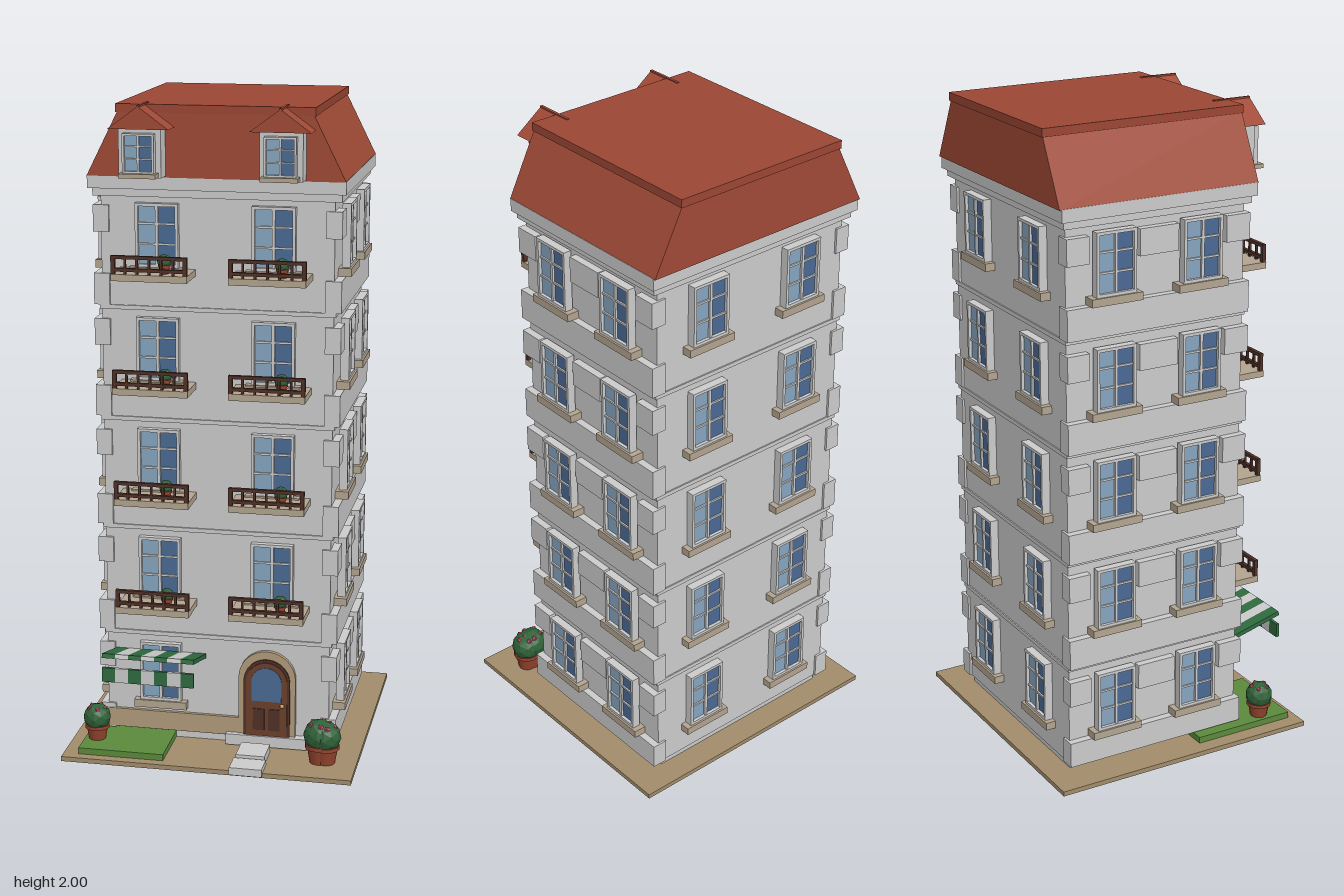
import * as THREE from 'three';

const mat = (color) => new THREE.MeshStandardMaterial({ color });
const M = {
  wall: mat(0xcccccc), tan: mat(0xb09c7c), sill: mat(0xb3a48f), roof: mat(0xa04a36), slab: mat(0x9c4634),
  light: mat(0x86a6c0), dark: mat(0x4a6a94), wood: mat(0x6b3f2c), rail: mat(0x4f3026), pot: mat(0x97452f),
  green: mat(0x2f6b3f), bush: mat(0x2f6138), lawn: mat(0x5c8a3c), ground: mat(0xa28d6c), pink: mat(0xc8506c), brass: mat(0xc9a24a),
};
M.bush.flatShading = true;

function add(parent, name, geo, m, x = 0, y = 0, z = 0) {
  const mesh = new THREE.Mesh(geo, m);
  mesh.name = name;
  mesh.position.set(x, y, z);
  parent.add(mesh);
  return mesh;
}

// box given by its lower and upper limits on each axis
function box(parent, name, m, [x0, x1], [y0, y1], [z0, z1]) {
  return add(parent, name, new THREE.BoxGeometry(x1 - x0, y1 - y0, z1 - z0), m,
    (x0 + x1) / 2, (y0 + y1) / 2, (z0 + z1) / 2);
}

function group(parent, name, x = 0, y = 0, z = 0, ry = 0) {
  const g = new THREE.Group();
  g.name = name;
  g.position.set(x, y, z);
  g.rotation.y = ry;
  parent.add(g);
  return g;
}

function extrude(points, depth) {
  const shape = points instanceof THREE.Shape ? points : new THREE.Shape(points.map(([x, y]) => new THREE.Vector2(x, y)));
  return new THREE.ExtrudeGeometry(shape, { depth, bevelEnabled: false, curveSegments: 16 });
}

// casement window facing +z, standing on y = 0, with its back at z = 0
function makeWindow(parent, w, h, x, y, z, ry = 0, sill = true) {
  const g = group(parent, 'window', x, y, z, ry), r = w / 2, t = w * 0.07;
  box(g, 'lightPane', M.light, [-r + t, 0], [t, h - t], [0, 0.016]);
  box(g, 'darkPane', M.dark, [0, r - t], [t, h - t], [0, 0.016]);
  for (const s of [-1, 1]) box(g, 'frameSide', M.wall, s < 0 ? [-r, -r + t] : [r - t, r], [0, h], [0, 0.026]);
  box(g, 'frameTop', M.wall, [-r, r], [h - t, h], [0, 0.026]);
  box(g, 'frameBottom', M.wall, [-r, r], [0, t], [0, 0.026]);
  box(g, 'mullion', M.wall, [-t / 2, t / 2], [0, h], [0, 0.023]);
  for (const k of [0.36, 0.68]) box(g, 'glazingBar', M.wall, [-r, r], [h * k - t / 3, h * k + t / 3], [0, 0.021]);
  if (sill) box(g, 'sill', M.sill, [-r - 0.018, r + 0.018], [-0.024, 0], [-0.01, 0.032]);
}

// flowering plant in a pot
function makePlant(parent, x, y, z, r, flowers = true) {
  const g = group(parent, 'pottedPlant', x, y, z);
  add(g, 'pot', new THREE.CylinderGeometry(r * 0.8, r * 0.6, r * 1.1, 12), M.pot, 0, r * 0.55, 0);
  add(g, 'potRim', new THREE.CylinderGeometry(r * 0.9, r * 0.9, r * 0.25, 12), M.pot, 0, r * 1.1, 0);
  add(g, 'bush', new THREE.IcosahedronGeometry(r, 1), M.bush, 0, r * 1.75, 0);
  if (!flowers) return;
  for (let i = 0; i < 5; i++) {
    const a = i * Math.PI * 2 / 5;
    add(g, 'flower', new THREE.IcosahedronGeometry(r * 0.2, 0), M.pink,
      Math.cos(a) * r * 0.55, r * 2.45, Math.sin(a) * r * 0.55);
  }
}

function makeBalcony(parent, x, y, plantX) {
  const g = group(parent, 'balcony', x, y, 0);
  box(g, 'balconySlab', M.sill, [-0.114, 0.114], [0, 0.02], [0.2, 0.345]);
  for (const h of [0.033, 0.07]) box(g, 'handrail', M.rail, [-0.114, 0.114], [h - 0.005, h + 0.005], [0.331, 0.343]);
  for (let i = 0; i < 7; i++) {
    const px = -0.108 + i * 0.036, t = i % 6 ? 0.0035 : 0.006;
    box(g, 'baluster', M.rail, [px - t, px + t], [0.018, 0.07], [0.337 - t, 0.337 + t]);
  }
  makePlant(g, plantX, 0.02, 0.305, 0.021, false);
}

function arch(w, h, y0 = 0) {
  const s = new THREE.Shape(), r = w / 2;
  s.moveTo(-r, y0);
  s.lineTo(r, y0);
  s.lineTo(r, h - r);
  s.absarc(0, h - r, r, 0, Math.PI);
  s.lineTo(-r, y0);
  return s;
}

function makeDoor(parent) {
  const g = group(parent, 'frontDoor', 0.158, 0.05, 0.21);
  add(g, 'doorSurround', extrude(arch(0.178, 0.28), 0.026), M.tan);
  add(g, 'doorFrame', extrude(arch(0.145, 0.255), 0.031), M.rail);
  add(g, 'doorLeaf', extrude(arch(0.128, 0.246), 0.034), M.wood);
  add(g, 'doorGlass', extrude(arch(0.094, 0.23, 0.12), 0.036), M.dark);
  for (const x of [-0.024, 0.024]) box(g, 'doorPanel', M.rail, [x - 0.018, x + 0.018], [0.025, 0.095], [0.03, 0.037]);
  add(g, 'doorKnob', new THREE.SphereGeometry(0.007, 10, 8), M.brass, 0.05, 0.11, 0.04);
  box(parent, 'threshold', M.wall, [0.03, 0.285], [0.02, 0.055], [0.2, 0.25]);
  // stepping stones out to the edge of the plot
  box(parent, 'step', M.wall, [0.085, 0.175], [0.012, 0.04], [0.27, 0.365]);
  box(parent, 'lowerStep', M.wall, [0.08, 0.18], [0.008, 0.032], [0.37, 0.445]);
}

function makeAwning(parent) {
  const g = group(parent, 'awning'), w = 0.285 / 7;
  for (let i = 0; i < 7; i++) {
    const x = -0.32 + w * (i + 0.5), m = i % 2 ? M.wall : M.green;
    const panel = add(g, 'awningStripe', new THREE.BoxGeometry(w, 0.014, 0.187), m, x, 0.324, 0.319);
    panel.rotation.x = -Math.atan2(0.048, 0.18);
    box(g, 'valanceStripe', m, [x - w / 2, x + w / 2], [0.265, 0.31], [0.402, 0.412]);
  }
}

function makeDormer(parent, x) {
  const g = group(parent, 'dormer', x);
  box(g, 'dormerWalls', M.wall, [-0.063, 0.063], [1.79, 1.945], [0.2, 0.305]);
  makeWindow(g, 0.094, 0.115, 0, 1.805, 0.303, 0, false);
  box(g, 'dormerSill', M.sill, [-0.055, 0.055], [1.793, 1.806], [0.3, 0.345]);
  add(g, 'dormerRoof', extrude([[-0.09, 1.932], [0.09, 1.932], [0, 1.998]], 0.125), M.roof, 0, 0, 0.2);
  box(g, 'dormerRidge', M.roof, [-0.004, 0.004], [1.985, 2], [0.2, 0.325]);
}

export function createModel() {
  const root = new THREE.Group();
  root.name = 'townHouse';

  // plot
  box(root, 'ground', M.ground, [-0.45, 0.45], [0, 0.015], [-0.445, 0.43]);
  box(root, 'lawn', M.lawn, [-0.403, -0.135], [0.01, 0.035], [0.065, 0.4]);
  box(root, 'foundation', M.wall, [-0.33, 0.33], [0.01, 0.05], [-0.36, 0.21]);

  // storeys with banded side walls, windows and balconies
  for (let i = 0; i < 5; i++) {
    const f = 0.02 + i * 0.343;
    const s = group(root, 'storey', 0, 0, 0);
    box(s, 'walls', M.wall, [-0.35, 0.35], [i ? f : 0.04, f + 0.343], [-0.37, 0.222]);
    box(s, 'stringCourse', M.wall, [-0.357, 0.357], [f + 0.335, f + 0.348], [-0.374, 0.227]);
    for (const side of [-1, 1]) {
      const xs = side < 0 ? [-0.373, -0.325] : [0.325, 0.373];
      box(s, 'longBand', M.wall, xs, [i ? f + 0.005 : 0.04, f + 0.1], [-0.377, 0.23]);
      for (const zs of [[0.15, 0.23], [-0.14, -0.012], [-0.377, -0.305]])
        box(s, 'quoin', M.wall, xs, [f + 0.225, f + 0.305], zs);
      for (const z of [0.065, -0.222])
        makeWindow(s, 0.13, 0.19, side * 0.358, f + 0.125, z, side * Math.PI / 2);
    }
    for (const x of [-0.178, 0.172]) {
      makeWindow(s, 0.13, 0.19, x, f + 0.125, -0.37, Math.PI);
      if (i || x < 0) makeWindow(s, 0.13, 0.19, x, f + 0.125, 0.215);
      if (i) makeBalcony(s, x, f + 0.1, 0.038);
    }
  }
  box(root, 'plinth', M.tan, [-0.355, 0.07], [0.045, 0.105], [0.2, 0.233]);

  // entrance and shop front
  makeDoor(root);
  makeAwning(root);

  // cornice and mansard roof
  box(root, 'corniceLower', M.wall, [-0.372, 0.372], [1.725, 1.752], [-0.385, 0.235]);
  box(root, 'cornice', M.wall, [-0.385, 0.385], [1.748, 1.787], [-0.397, 0.246]);
  add(root, 'mansardRoof', extrude([[-0.385, 1.785], [0.385, 1.785], [0.287, 1.98], [-0.287, 1.98]], 0.652),
    M.roof, 0, 0, -0.404);
  box(root, 'roofSlab', M.slab, [-0.295, 0.295], [1.972, 1.997], [-0.408, 0.25]);
  makeDormer(root, -0.21);
  makeDormer(root, 0.205);

  // garden plants
  makePlant(root, -0.365, 0.03, 0.31, 0.043);
  makePlant(root, 0.335, 0.015, 0.31, 0.05);
  makePlant(root, 0.355, 0.015, 0.312, 0.048);
  return root;
}
